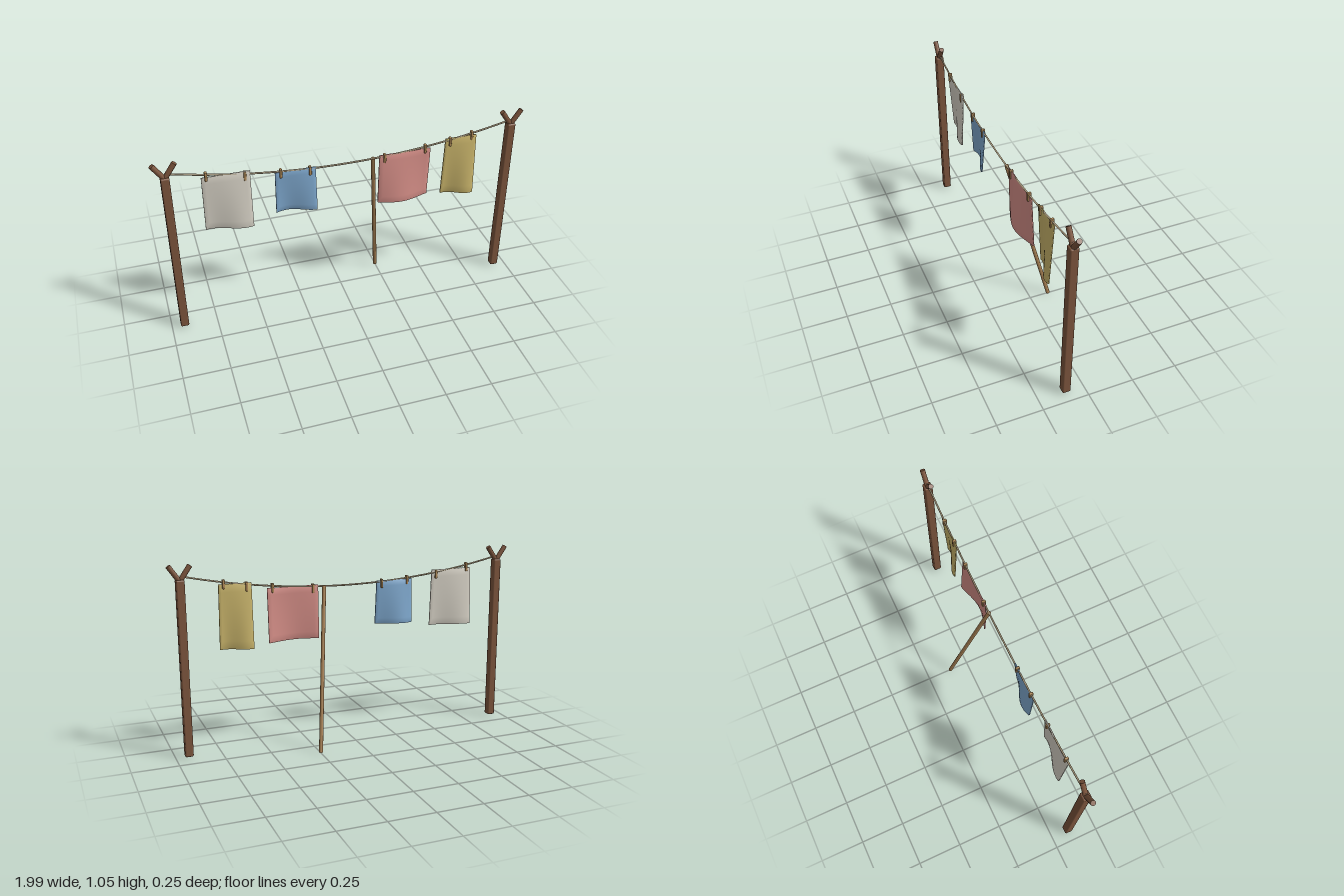
import * as THREE from 'three';
import { mergeVertices } from 'three/addons/utils/BufferGeometryUtils.js';
import { RoundedBoxGeometry } from 'three/addons/geometries/RoundedBoxGeometry.js';

const Z = 0.1; // depth of the posts and line

function makeMaterial(name, color) {
  const m = new THREE.MeshStandardMaterial({ color });
  m.name = name;
  return m;
}

function makeMesh(name, geometry, material, parent) {
  const mesh = new THREE.Mesh(geometry, material);
  mesh.name = name;
  parent.add(mesh);
  return mesh;
}

// Round pole between two points
function pole(name, from, to, radius, sides, material, parent) {
  const a = new THREE.Vector3(...from), b = new THREE.Vector3(...to);
  const dir = b.clone().sub(a);
  const mesh = makeMesh(name, new THREE.CylinderGeometry(radius, radius, dir.length(), sides), material, parent);
  mesh.position.copy(a).add(b).multiplyScalar(0.5);
  mesh.quaternion.setFromUnitVectors(new THREE.Vector3(0, 1, 0), dir.normalize());
  return mesh;
}

// Height of the sagging line
const lineY = (x) => 0.88 + 0.108 * (x / 0.93) ** 2;

// Soft hanging cloth: a thin slab whose wave grows towards the hem
function clothGeometry(x0, x1, top, bottom, phase) {
  const w = x1 - x0, h = top - bottom;
  let geo = new THREE.BoxGeometry(w, h, 0.008, 12, 8, 1);
  geo.deleteAttribute('uv');
  geo.deleteAttribute('normal');
  geo = mergeVertices(geo);
  const p = geo.attributes.position;
  for (let i = 0; i < p.count; i++) {
    const u = p.getX(i) / w + 0.5, t = 0.5 - p.getY(i) / h;
    p.setZ(i, p.getZ(i) + 0.023 * t * Math.sin(4.2 * u + phase));
  }
  geo.translate((x0 + x1) / 2, (top + bottom) / 2, Z);
  geo.computeVertexNormals();
  return geo;
}

export function createModel() {
  const model = new THREE.Group();
  model.name = 'washingLine';
  const wood = makeMaterial('dark wood', 0x7b543c);
  const paleWood = makeMaterial('pale wood', 0xa67f52);
  const pegWood = makeMaterial('peg wood', 0xb08a58);
  const rope = makeMaterial('rope', 0xb8a888);

  // Posts with forked tops
  for (const side of [-1, 1]) {
    const post = new THREE.Group();
    post.name = side > 0 ? 'leftPost' : 'rightPost';
    model.add(post);
    const x = side * 0.93;
    makeMesh('postShaft', new RoundedBoxGeometry(0.045, 0.962, 0.045, 2, 0.008), wood, post)
      .position.set(x, 0.489, Z);
    for (const s of [-1, 1]) {
      pole('forkProng', [x, 0.96, Z], [x + s * 0.056, 1.042, Z], 0.014, 10, wood, post);
    }
  }

  // Sagging line
  const points = [];
  for (let i = 0; i <= 16; i++) {
    const x = -0.93 + (1.86 * i) / 16;
    points.push(new THREE.Vector3(x, lineY(x), Z));
  }
  makeMesh('line', new THREE.TubeGeometry(new THREE.CatmullRomCurve3(points), 64, 0.005, 6), rope, model);

  // Leaning prop
  pole('prop', [0.25, 0.003, -0.109], [0.147, 0.885, Z], 0.011, 10, paleWood, model);

  // Laundry: name, colour, left edge, right edge, top, hem, wave phase, peg positions
  const laundry = [
    ['whiteCloth', 0xd6d1c5, -0.755, -0.508, 0.93, 0.602, -2.0, [-0.73, -0.535]],
    ['blueCloth', 0x7fa9cf, -0.38, -0.165, 0.89, 0.64, -2.7, [-0.35, -0.195]],
    ['pinkCloth', 0xd68f88, 0.183, 0.47, 0.893, 0.595, -0.3, [0.212, 0.44]],
    ['yellowCloth', 0xcbb66c, 0.555, 0.732, 0.931, 0.575, -2.0, [0.582, 0.705]],
  ];
  for (const [name, color, x0, x1, top, bottom, phase, pegs] of laundry) {
    makeMesh(name, clothGeometry(x0, x1, top, bottom, phase), makeMaterial(name + ' fabric', color), model);
    for (const x of pegs) {
      makeMesh('peg', new RoundedBoxGeometry(0.014, 0.05, 0.022, 1, 0.003), pegWood, model)
        .position.set(x, lineY(x) - 0.011, Z);
    }
  }
  return model;
}
